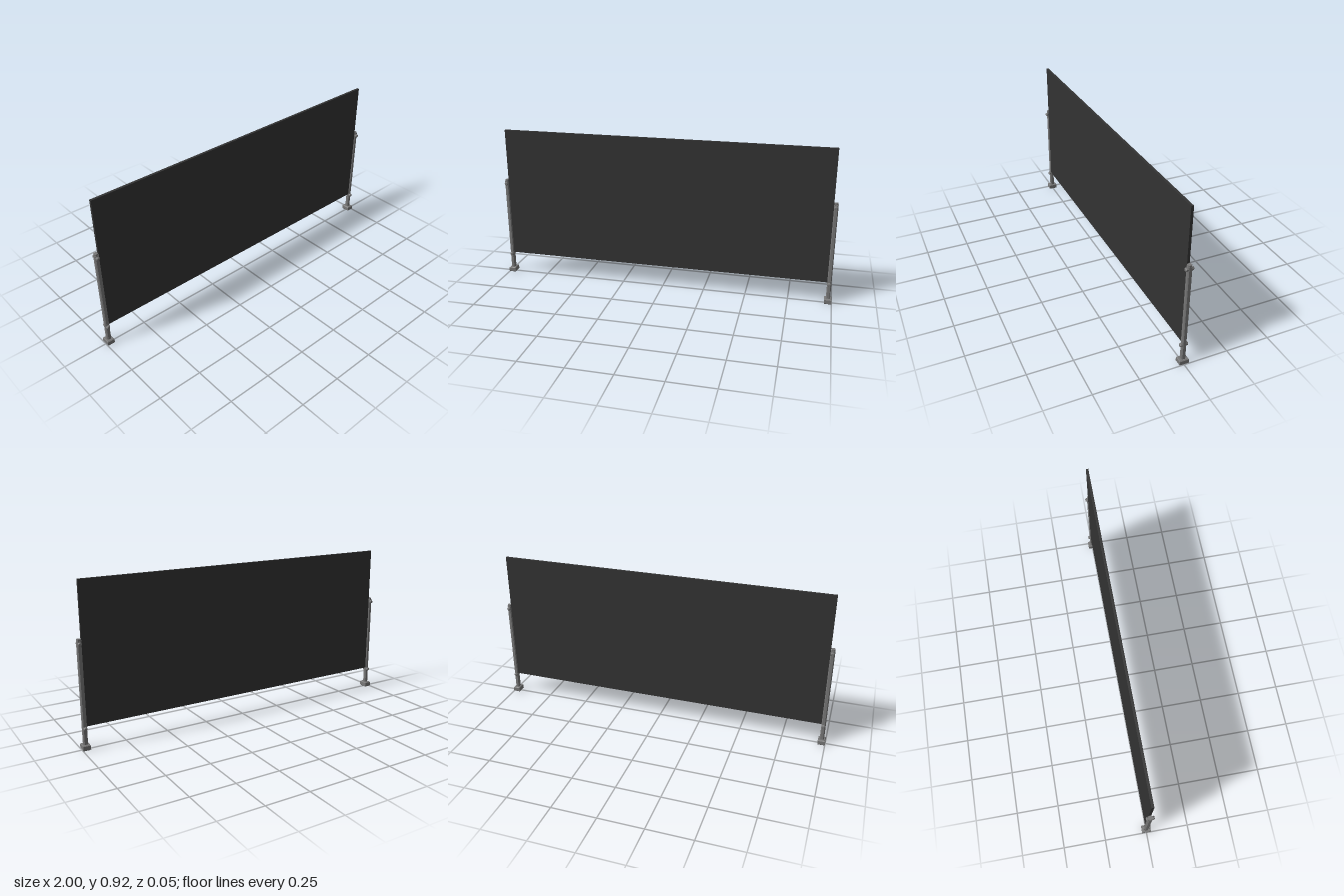
import * as THREE from 'three';

const metal = new THREE.MeshStandardMaterial({ color: 0x777777, flatShading: true });
const dark = new THREE.MeshStandardMaterial({ color: 0x333333, flatShading: true });

function add(parent, name, geometry, material, x, y, z) {
  const mesh = new THREE.Mesh(geometry, material);
  mesh.name = name;
  mesh.position.set(x, y, z);
  parent.add(mesh);
  return mesh;
}

// Block with chamfered top and bottom edges, standing on y = 0
function chamferedBlock(w, h, d, c) {
  const x = w / 2 - c, z = d / 2 - c;
  const shape = new THREE.Shape([[-x, -z], [x, -z], [x, z], [-x, z]].map(p => new THREE.Vector2(...p)));
  const geometry = new THREE.ExtrudeGeometry(shape, {
    depth: h - 2 * c, bevelEnabled: true, bevelThickness: c, bevelSize: c, bevelSegments: 1,
  });
  return geometry.translate(0, 0, c).rotateX(-Math.PI / 2);
}

// Upright of rectangular tube with cut corners
function uprightGeometry(w, d, h, c) {
  const x = w / 2, z = d / 2;
  const pts = [[-x + c, -z], [x - c, -z], [x, -z + c], [x, z - c], [x - c, z], [-x + c, z], [-x, z - c], [-x, -z + c]];
  const shape = new THREE.Shape(pts.map(p => new THREE.Vector2(...p)));
  return new THREE.ExtrudeGeometry(shape, { depth: h, bevelEnabled: false }).rotateX(-Math.PI / 2);
}

// Bolt running front to back, with tapered ends
function boltGeometry() {
  const profile = [[0, -0.023], [0.007, -0.023], [0.011, -0.018], [0.011, 0.018], [0.007, 0.023], [0, 0.023]];
  return new THREE.LatheGeometry(profile.map(p => new THREE.Vector2(...p)), 8)
    .rotateY(Math.PI / 8).rotateX(Math.PI / 2);
}

export function createModel() {
  const group = new THREE.Group();
  group.name = 'screen';

  // Thin panel between the posts
  add(group, 'panel', new THREE.BoxGeometry(1.934, 0.785, 0.014), dark, 0, 0.5225, 0);

  // One post at each end
  for (const side of [1, -1]) {
    const post = new THREE.Group();
    post.name = side > 0 ? 'leftPost' : 'rightPost';
    post.position.x = side * 0.979;
    group.add(post);
    add(post, 'foot', chamferedBlock(0.042, 0.03, 0.052, 0.004), metal, 0, 0, 0);
    add(post, 'upright', uprightGeometry(0.024, 0.024, 0.57, 0.005), metal, 0, 0.028, 0);
    add(post, 'cap', uprightGeometry(0.021, 0.021, 0.012, 0.005), metal, 0, 0.595, 0);
    for (const y of [0.12, 0.582]) add(post, 'clampBolt', boltGeometry(), metal, 0, y, 0);
  }
  return group;
}
